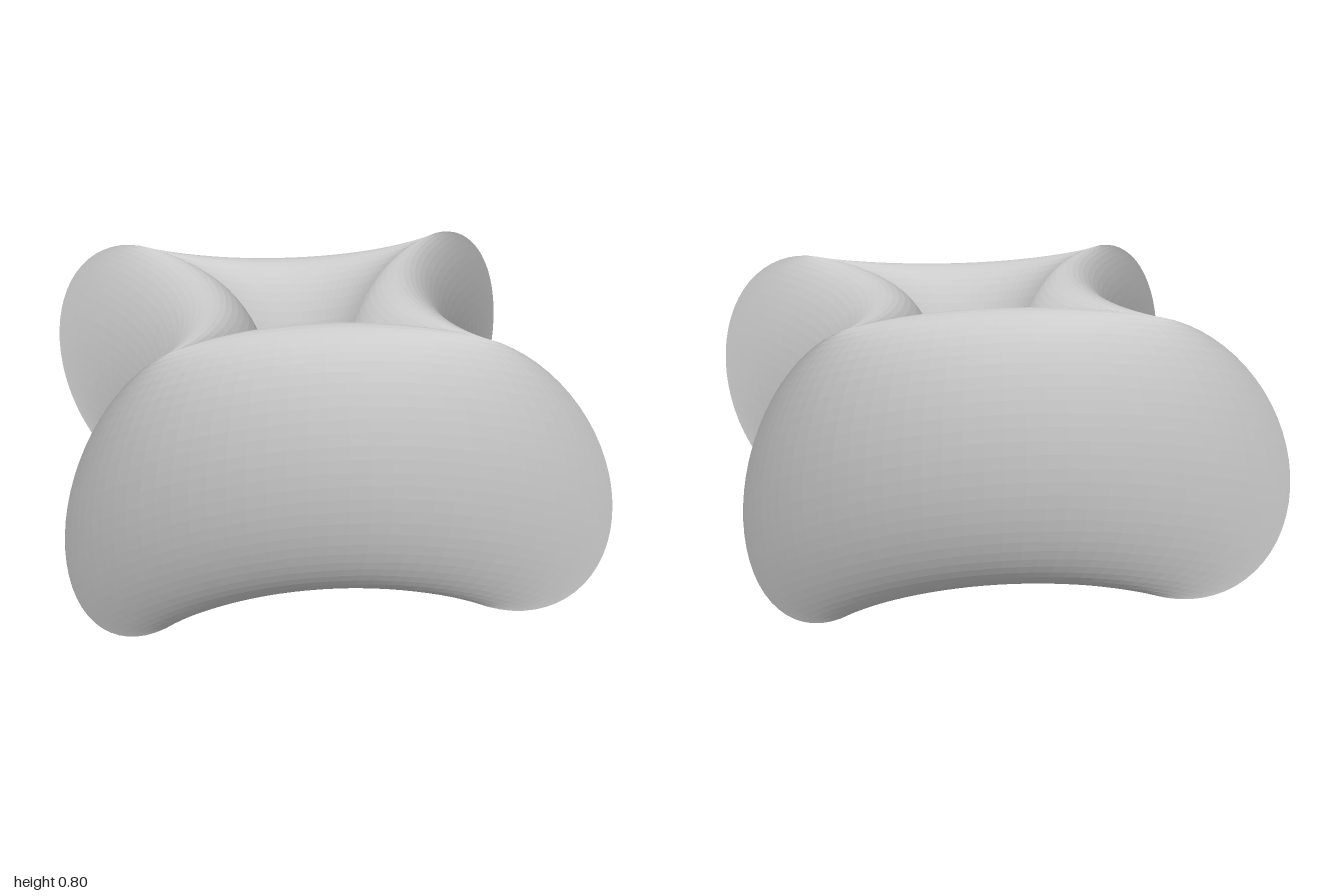
import * as THREE from 'three';

const RING = 0.6;       // distance of the tube centre along each axis
const TUBE = 0.4;       // tube radius
const POWER = 10 / 3;   // how far the sides of the star curve inwards
const U = 40;           // steps along one quarter
const V = 64;           // steps round the tube

// One quarter of a ring with a four-pointed star plan, from the +x cusp to the +z cusp
function quarterGeometry() {
  const positions = [];
  const indices = [];
  for (let i = 0; i <= U; i++) {
    const u = (i / U) * Math.PI / 2;
    const cx = i === U ? 0 : Math.cos(u) ** POWER;
    const cz = Math.sin(u) ** POWER;
    for (let j = 0; j < V; j++) {
      const v = (j / V) * Math.PI * 2;
      const s = RING + TUBE * Math.cos(v);
      positions.push(s * cx, TUBE + TUBE * Math.sin(v), s * cz);
    }
  }
  for (let i = 0; i < U; i++) {
    for (let j = 0; j < V; j++) {
      const k = (j + 1) % V; // close the tube
      const a = i * V + j, b = i * V + k;
      const c = a + V, d = b + V;
      indices.push(a, b, c, b, d, c);
    }
  }
  const geometry = new THREE.BufferGeometry();
  geometry.setAttribute('position', new THREE.Float32BufferAttribute(positions, 3));
  geometry.setIndex(indices);
  geometry.computeVertexNormals();
  return geometry;
}

export function createModel() {
  const group = new THREE.Group();
  group.name = 'starRing';
  const geometry = quarterGeometry();
  const material = new THREE.MeshStandardMaterial({ color: 0xcccccc, flatShading: true });

  // Four quarters meet in sharp creases on the axes
  const names = ['frontLeftQuarter', 'backLeftQuarter', 'backRightQuarter', 'frontRightQuarter'];
  names.forEach((name, i) => {
    const quarter = new THREE.Mesh(geometry, material);
    quarter.name = name;
    quarter.rotation.y = i * Math.PI / 2;
    group.add(quarter);
  });
  return group;
}
